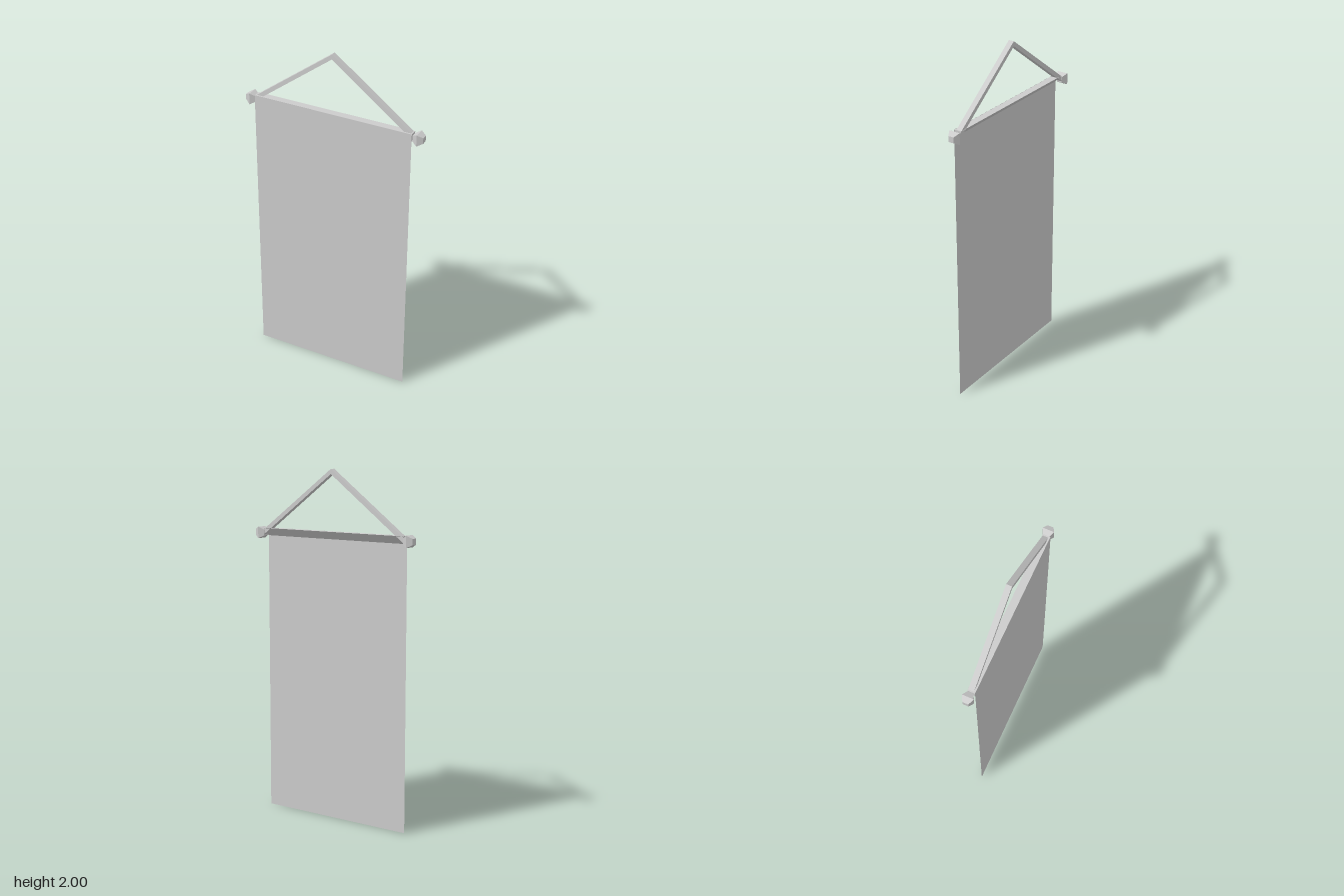
import * as THREE from 'three';

const HALF_WIDTH = 0.475;
const ROD_Y = 1.628;
const TOP = 1.655;

function part(name, geometry, doubleSided = false) {
  const mesh = new THREE.Mesh(geometry, new THREE.MeshStandardMaterial({
    color: 0xcccccc,
    flatShading: true,
    side: doubleSided ? THREE.DoubleSide : THREE.FrontSide,
  }));
  mesh.name = name;
  return mesh;
}

function extrude(points, depth) {
  const shape = new THREE.Shape(points.map(([x, y]) => new THREE.Vector2(x, y)));
  return new THREE.ExtrudeGeometry(shape, { depth, bevelEnabled: false });
}

export function createModel() {
  const model = new THREE.Group();
  model.name = 'hangingBanner';

  // Thin cloth sheet hanging in front of the rod
  const cloth = part('cloth', new THREE.PlaneGeometry(HALF_WIDTH * 2, TOP), true);
  cloth.position.set(0, TOP / 2, 0.026);
  model.add(cloth);

  // Three-sided rod, flat on top; profile runs in (-z, y)
  const rodShape = [[-0.025, TOP], [-0.025, 1.61], [0.018, TOP]];
  const rod = part('rod', extrude(rodShape, HALF_WIDTH * 2));
  rod.rotation.y = Math.PI / 2;
  rod.position.x = -HALF_WIDTH;
  model.add(rod);

  // Hanging cord: one bent strip with a square section
  const cord = part('cord', extrude([
    [0, 2], [-HALF_WIDTH, 1.649], [-HALF_WIDTH, 1.619],
    [0, 1.972], [HALF_WIDTH, 1.619], [HALF_WIDTH, 1.649],
  ], 0.032));
  cord.position.z = -0.016;
  model.add(cord);

  // Four-sided knobs, widest in the middle
  const k = Math.SQRT2;
  const profile = [[0, -0.031], [0.0165, -0.031], [0.033, 0], [0.0165, 0.031], [0, 0.031]]
    .map(([r, y]) => new THREE.Vector2(r * k, y));
  for (const side of [-1, 1]) {
    const geometry = new THREE.LatheGeometry(profile, 4);
    geometry.rotateY(Math.PI / 4);
    geometry.rotateZ(Math.PI / 2);
    const knob = part(side > 0 ? 'leftKnob' : 'rightKnob', geometry);
    knob.position.set(side * 0.506, ROD_Y, 0);
    model.add(knob);
  }

  return model;
}
